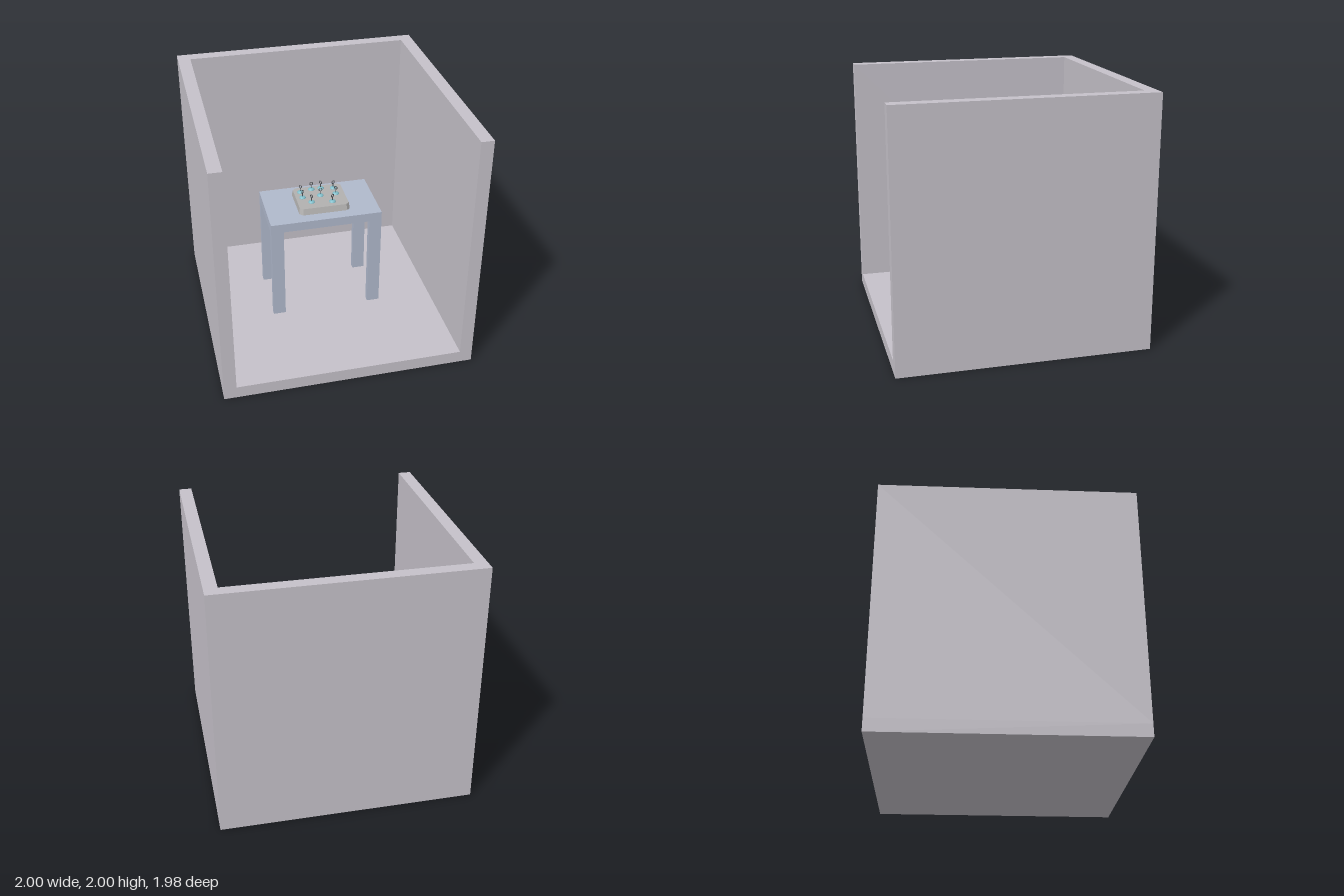
import * as THREE from 'three';

const mat = (color, extra = {}) => {
  const m = new THREE.MeshStandardMaterial(extra);
  m.color.set(color);
  return m;
};

function add(parent, name, geometry, material, x = 0, y = 0, z = 0) {
  const mesh = new THREE.Mesh(geometry, material);
  mesh.name = name;
  mesh.position.set(x, y, z);
  parent.add(mesh);
  return mesh;
}

// Box given by its limits on each axis
function block(parent, name, material, [x0, x1], [y0, y1], [z0, z1]) {
  const geometry = new THREE.BoxGeometry(x1 - x0, y1 - y0, z1 - z0);
  return add(parent, name, geometry, material, (x0 + x1) / 2, (y0 + y1) / 2, (z0 + z1) / 2);
}

// Rectangle with cut corners, extruded upward
function cutSlab(hx, hz, cut, height) {
  const shape = new THREE.Shape([
    [hx - cut, -hz], [hx, -hz + cut], [hx, hz - cut], [hx - cut, hz],
    [-hx + cut, hz], [-hx, hz - cut], [-hx, -hz + cut], [-hx + cut, -hz],
  ].map(([x, y]) => new THREE.Vector2(x, y)));
  return new THREE.ExtrudeGeometry(shape, { depth: height, bevelEnabled: false }).rotateX(-Math.PI / 2);
}

function makeRoom() {
  const room = new THREE.Group();
  room.name = 'room';
  const grey = mat(0xc5c1c9);
  block(room, 'floor', grey, [-1, 1], [0, 0.1], [-0.99, 0.99]);

  // Three walls as one U-shaped extrusion, open at the front
  const plan = new THREE.Shape([
    [-1, -0.99], [-0.9, -0.99], [-0.9, 0.89], [0.9, 0.89],
    [0.9, -0.99], [1, -0.99], [1, 0.99], [-1, 0.99],
  ].map(([x, y]) => new THREE.Vector2(x, y)));
  const walls = new THREE.ExtrudeGeometry(plan, { depth: 1.9, bevelEnabled: false }).rotateX(-Math.PI / 2);
  add(room, 'walls', walls, grey, 0, 0.1, 0);
  return room;
}

function makeTable() {
  const table = new THREE.Group();
  table.name = 'table';
  const blue = mat(0xb0b9cc);
  block(table, 'tableTop', blue, [-0.458, 0.455], [0.91, 0.985], [-0.36, 0.18]);
  for (const x of [[-0.458, -0.356], [0.353, 0.455]]) {
    for (const z of [[-0.36, -0.31], [0.13, 0.18]]) {
      block(table, 'tableLeg', blue, x, [0.1, 0.91], z);
    }
  }
  return table;
}

function makeControlBox() {
  const box = new THREE.Group();
  box.name = 'controlBox';
  box.position.set(0.008, 0.985, -0.094);

  // Octagonal case whose sides lean in slightly toward the top
  const height = 0.05;
  const body = cutSlab(0.21, 0.181, 0.027, height);
  const p = body.attributes.position;
  for (let i = 0; i < p.count; i++) {
    const t = p.getY(i) / height;
    p.setX(i, p.getX(i) * (1 - 0.03 * t));
    p.setZ(i, p.getZ(i) * (1 - 0.08 * t));
  }
  body.computeVertexNormals();
  add(box, 'case', body, mat(0xb2b1b0, { flatShading: true }));
  return box;
}

// Low teal button carrying a thin stem with an upright ring
function makeSwitch(x, z, angle) {
  const group = new THREE.Group();
  group.name = 'switch';
  group.position.set(x, 1.034, z);
  group.rotation.y = angle;
  const dome = new THREE.LatheGeometry(
    [[0.027, 0], [0.027, 0.004], [0.022, 0.010], [0.012, 0.014], [0, 0.015]]
      .map(([r, y]) => new THREE.Vector2(r, y)), 20);
  add(group, 'button', dome, mat(0x7fbcc8, { side: THREE.DoubleSide }));
  const dark = mat(0x55585c);
  add(group, 'stem', new THREE.CylinderGeometry(0.003, 0.003, 0.035, 8), dark, 0, 0.029, 0);
  add(group, 'ring', new THREE.TorusGeometry(0.0125, 0.0035, 8, 20), dark, 0, 0.057, 0);
  return group;
}

export function createModel() {
  const model = new THREE.Group();
  model.name = 'roomWithTable';
  model.add(makeRoom(), makeTable(), makeControlBox());

  // Switch positions on the case (x, z) and ring turn in radians
  const switches = [
    [-0.14, -0.19, -0.9], [-0.043, -0.215, 0], [0.037, -0.215, -1.0],
    [0.14, -0.197, 0.45], [-0.14, -0.105, 0.8], [0.01, -0.105, 0],
    [0.14, -0.105, -0.8], [-0.083, -0.02, -1.05], [0.085, 0.008, 0.5],
  ];
  for (const [x, z, angle] of switches) model.add(makeSwitch(x, z, angle));
  return model;
}
